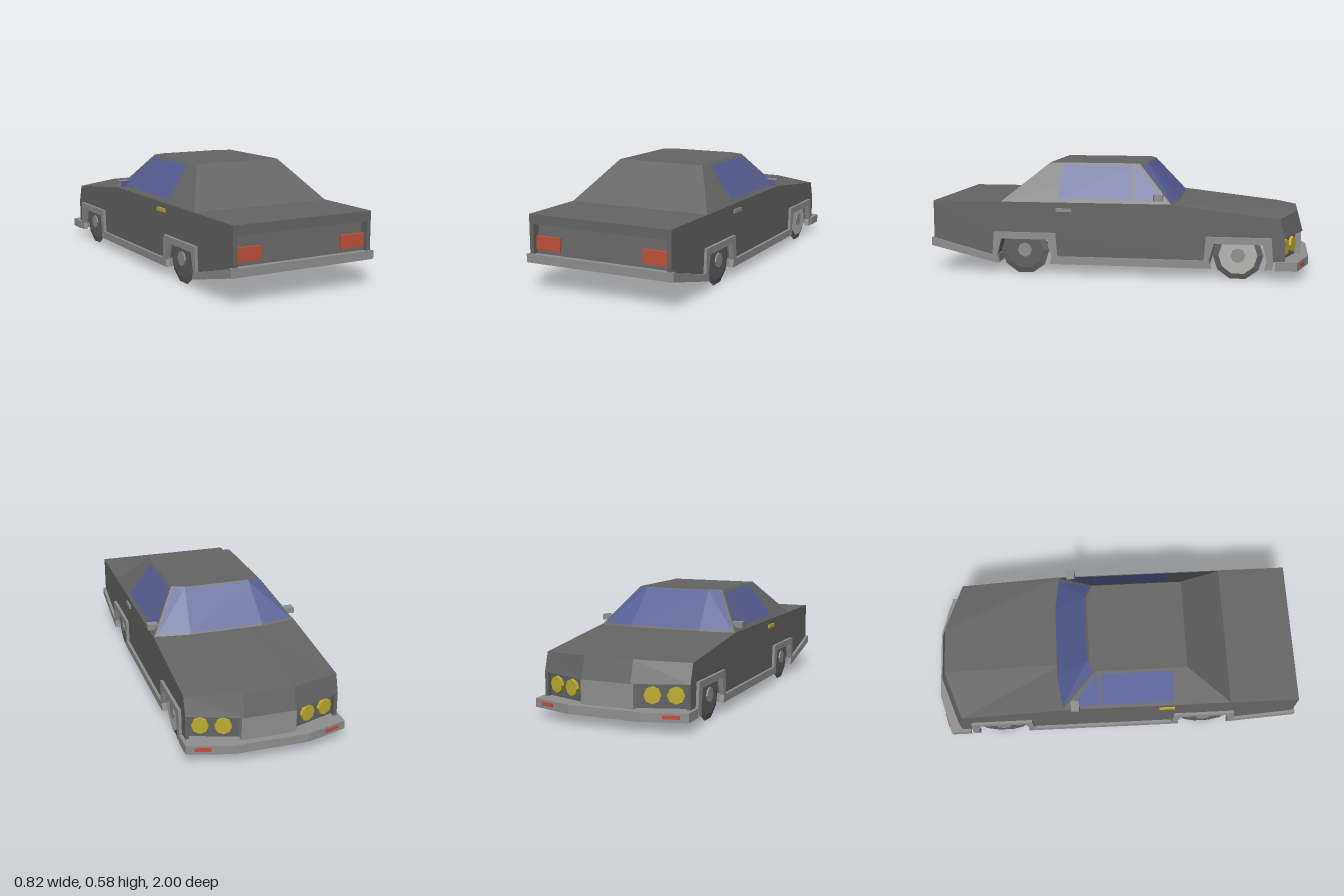
import * as THREE from 'three';
import { ConvexGeometry } from 'three/addons/geometries/ConvexGeometry.js';

const mat = (name, color, side = THREE.FrontSide) =>
  Object.assign(new THREE.MeshStandardMaterial({ color, flatShading: true, side }), { name });

export function createModel() {
  const car = new THREE.Group();
  car.name = 'sedan';
  const paint = mat('body grey', 0x656565);
  const trim = mat('trim grey', 0x8f8f8f);
  const tyre = mat('tyre grey', 0x606060, THREE.DoubleSide);
  const rim = mat('rim light grey', 0xb4b4b0);
  const glass = mat('glass blue', 0x555d94, THREE.DoubleSide);
  const red = mat('lamp red', 0xc0503a);
  const yellow = mat('lamp yellow', 0xbfae30);

  const add = (name, geometry, material, x = 0, y = 0, z = 0, turn = 0) => {
    const mesh = new THREE.Mesh(geometry, material);
    mesh.name = name;
    mesh.position.set(x, y, z);
    mesh.rotation.y = turn;
    car.add(mesh);
    return mesh;
  };
  // Box given by its limits on each axis
  const box = (name, material, x0, x1, y0, y1, z0, z1) =>
    add(name, new THREE.BoxGeometry(Math.abs(x1 - x0), y1 - y0, z1 - z0), material,
      (x0 + x1) / 2, (y0 + y1) / 2, (z0 + z1) / 2);
  const triangles = (points) => {
    const g = new THREE.BufferGeometry().setFromPoints(points);
    g.computeVertexNormals();
    return g;
  };

  // Lower body: side profile [z, y], where c is 0 at the flanks and 1 at the middle of the nose
  const wheelZ = [0.49, -0.635];
  const profile = (c) => [
    [0.99, 0.15], [0.65, 0.095],
    ...wheelZ.flatMap((z) => [[z + 0.15, 0.1], [z + 0.135, 0.2], [z - 0.135, 0.2], [z - 0.15, 0.1]]),
    [-0.84 - 0.09 * c, 0.1], [-0.845 - 0.09 * c, 0.225],
    [-0.875 - 0.095 * c, 0.225], [-0.845 - 0.095 * c, 0.322 + 0.014 * c],
    [-0.28, 0.387], [0.99, 0.385], [0.99, 0.335], [0.945, 0.335], [0.965, 0.185], [0.99, 0.185],
  ];
  const sections = [[-0.393, 0], [-0.13, 1], [0.13, 1], [0.393, 0]].map(([x, c]) =>
    profile(c).map(([z, y]) => new THREE.Vector3(x, y, z)));
  const skin = [];
  for (let s = 0; s < 3; s++) {
    const a = sections[s], b = sections[s + 1];
    a.forEach((p, i) => {
      const j = (i + 1) % a.length;
      skin.push(p, a[j], b[j], p, b[j], b[i]);
    });
  }
  const outline = profile(0).map(([z, y]) => new THREE.Vector2(-z, y));
  for (const [i, j, k] of THREE.ShapeUtils.triangulateShape(outline, [])) {
    const l = sections[0], r = sections[3];
    skin.push(r[i], r[j], r[k], l[i], l[k], l[j]);
  }
  add('lowerBody', triangles(skin), paint);

  // Cabin with a bent windscreen
  const low = [[0.39, -0.29], [0.2, -0.315], [-0.2, -0.315], [-0.39, -0.29]]
    .map(([x, z]) => new THREE.Vector3(x, 0.385, z));
  const high = [[0.245, -0.105], [0.18, -0.135], [-0.18, -0.135], [-0.245, -0.105]]
    .map(([x, z]) => new THREE.Vector3(x, 0.585, z));
  const rear = [1, -1].flatMap((s) => [
    new THREE.Vector3(s * 0.39, 0.385, 0.62), new THREE.Vector3(s * 0.245, 0.585, 0.38)]);
  add('cabin', new ConvexGeometry([...low, ...high, ...rear]), paint);

  // Windscreen, set just proud of the cabin
  const pane = (i, t) => {
    const p = low[i].clone().lerp(high[i], t);
    p.x *= i % 3 === 0 ? 0.96 : 1;
    return p.add(new THREE.Vector3(0, 0.004, -0.004));
  };
  const screen = [];
  for (let i = 0; i < 3; i++) {
    const a = pane(i, 0.03), b = pane(i + 1, 0.03), c = pane(i + 1, 0.96), d = pane(i, 0.96);
    if (i < 2) screen.push(a, b, c, a, c, d);
    else screen.push(a, b, d, b, c, d);
  }
  add('windscreen', triangles(screen), glass);

  // Side glass lies on the sloping cabin sides
  const sideWindow = (name, points, s) => {
    const g = new THREE.ShapeGeometry(new THREE.Shape(points.map(([z, y]) => new THREE.Vector2(z, y))));
    const pos = g.attributes.position;
    for (let i = 0; i < pos.count; i++) {
      const z = pos.getX(i), y = pos.getY(i);
      pos.setXYZ(i, s * (0.39 - 0.725 * (y - 0.385) + 0.003), y, z);
    }
    if (s > 0) g.index.array.reverse();
    g.computeVertexNormals();
    add(name, g, glass);
  };

  // Sill and wheel arch trim, as one side outline [z, y]
  const trimPoints = [[1, 0.145], [1, 0.188]];
  const under = [];
  for (const z of wheelZ) {
    trimPoints.push([z + 0.175, 0.1], [z + 0.165, 0.225], [z - 0.17, 0.225], [z - 0.18, 0.1]);
    under.push([z + 0.155, 0.06], [z + 0.138, 0.06], [z + 0.148, 0.1], [z + 0.125, 0.19],
      [z - 0.125, 0.19], [z - 0.148, 0.1], [z - 0.138, 0.06]);
  }
  trimPoints.push([-0.81, 0.06]);
  const trimShape = new THREE.Shape([...trimPoints, ...under.reverse()]
    .map(([z, y]) => new THREE.Vector2(-z, y)));

  // Wheel: narrow drum with a wide thin outer flange
  const wheelProfile = [[0, 0.275], [0.09, 0.275], [0.09, 0.366], [0.13, 0.38], [0.1, 0.387], [0, 0.387]]
    .map(([r, x]) => new THREE.Vector2(r, x));
  const disc = (r, depth, sides) => new THREE.CylinderGeometry(r, r, depth, sides).rotateZ(Math.PI / 2);

  for (const s of [1, -1]) {
    const side = s > 0 ? 'left' : 'right';
    sideWindow(side + 'DoorWindow', [[0.31, 0.405], [0.31, 0.572], [-0.078, 0.572], [-0.078, 0.405]], s);
    sideWindow(side + 'QuarterWindow', [[-0.092, 0.405], [-0.092, 0.568], [-0.108, 0.568], [-0.245, 0.405]], s);

    const strip = new THREE.ExtrudeGeometry(trimShape, { depth: 0.025, bevelEnabled: false });
    strip.rotateY(Math.PI / 2);
    add(side + 'SillTrim', strip, trim, s > 0 ? 0.383 : -0.408);

    wheelZ.forEach((z, i) => {
      const name = side + (i ? 'Nose' : 'Tail');
      const wheel = new THREE.LatheGeometry(wheelProfile, 10).rotateZ(-s * Math.PI / 2);
      add(name + 'Wheel', wheel, tyre, 0, 0.13, z);
      add(name + 'Hub', disc(0.038, 0.01, 8), trim, s * 0.39, 0.13, z);
      if (s > 0 && i) add(name + 'Rim', disc(0.1, 0.006, 10), rim, 0.387, 0.13, z);
      if (s < 0 && !i) add(name + 'InnerRim', disc(0.085, 0.006, 10), rim, -0.273, 0.13, z);
    });

    // Cheeks that close the lamp recesses at the corners
    box(side + 'TailCheek', paint, s * 0.37, s * 0.393, 0.18, 0.34, 0.94, 0.99);
    box(side + 'NoseCheek', paint, s * 0.375, s * 0.393, 0.1, 0.228, -0.874, -0.83);
    box(side + 'TailLamp', red, s * 0.23, s * 0.369, 0.205, 0.273, 0.95, 0.97);

    // Paired headlamps following the swept nose
    for (const x of [0.215, 0.32]) {
      const lamp = new THREE.CylinderGeometry(0.042, 0.042, 0.02, 8).rotateX(Math.PI / 2);
      add(side + 'Headlamp', lamp, yellow, s * x, 0.168, -0.85 - 0.346 * (0.39 - x), -s * 0.333);
    }
    add(side + 'BumperMarker', new THREE.BoxGeometry(0.08, 0.018, 0.008), red,
      s * 0.33, 0.083, -0.959, -s * 0.287);

    box(side + 'DoorHandle', s > 0 ? trim : yellow, s * 0.385, s * 0.402, 0.338, 0.357, 0.233, 0.318);
    box(side + 'Mirror', trim, s * 0.355, s * 0.41, 0.405, 0.435, -0.245, -0.202);
    box(side + 'MirrorGlass', glass, s * 0.355, s * 0.41, 0.405, 0.435, -0.202, -0.198);
  }

  // Cross members, tail bar and grille
  box('tailBar', trim, -0.403, 0.403, 0.143, 0.187, 0.97, 1);
  for (const z of [0.645, 0.33, -0.475])
    box('crossMember', trim, -0.39, 0.39, 0.06, 0.105, z - 0.012, z + 0.012);
  box('grille', trim, -0.14, 0.14, 0.1, 0.226, -0.962, -0.9);

  // Swept nose bumper
  const bumper = new THREE.Shape([[-0.41, 0.825], [-0.15, 0.88], [0.15, 0.88], [0.41, 0.825],
    [0.41, 0.935], [0.19, 1], [-0.19, 1], [-0.41, 0.935]].map(([x, y]) => new THREE.Vector2(x, y)));
  add('noseBumper', new THREE.ExtrudeGeometry(bumper, { depth: 0.045, bevelEnabled: false })
    .rotateX(-Math.PI / 2), trim, 0, 0.058, 0);

  return car;
}
